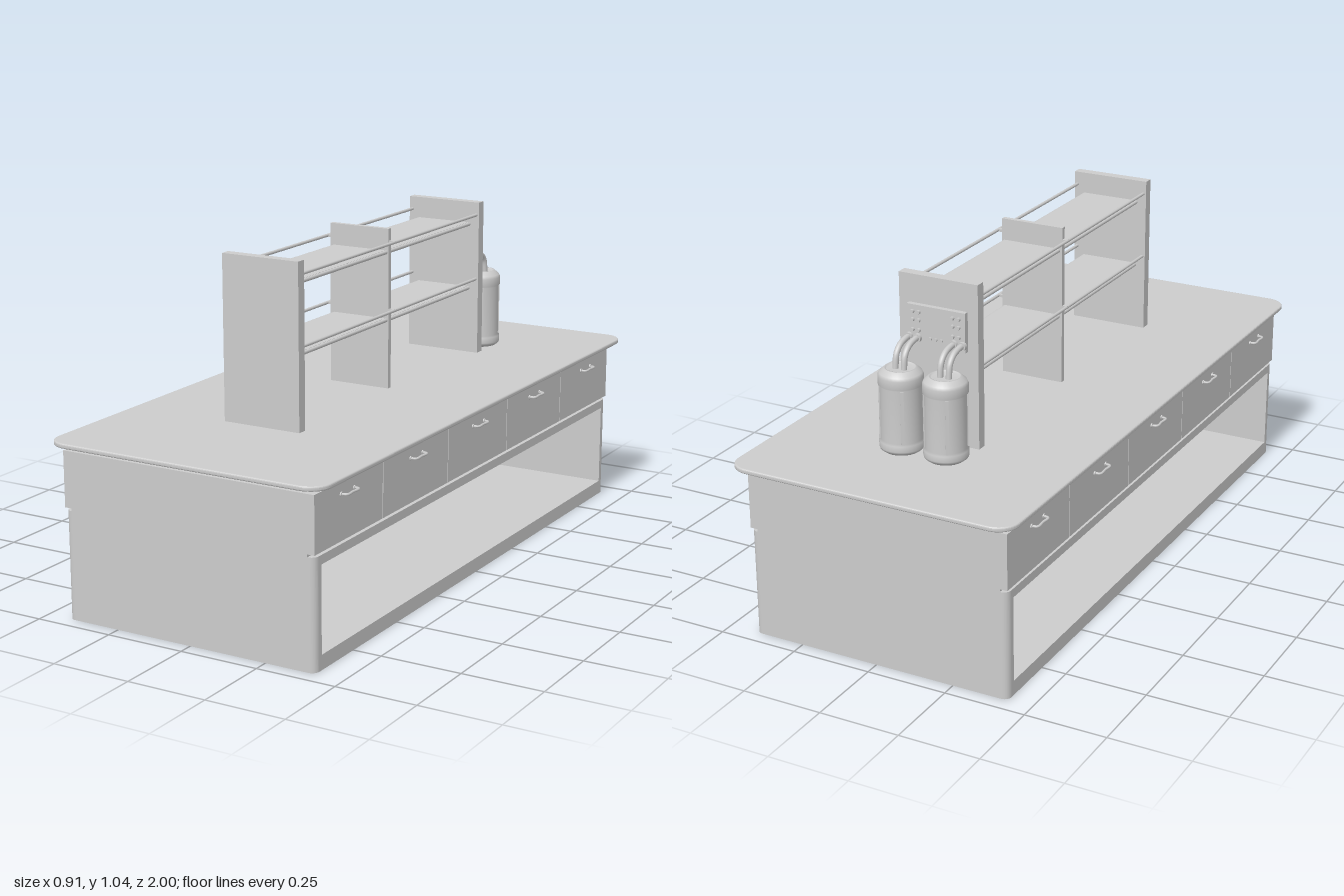
import * as THREE from 'three';

const mat = new THREE.MeshStandardMaterial({ color: 0xcccccc });

function add(parent, name, geo, x = 0, y = 0, z = 0) {
  const m = new THREE.Mesh(geo, mat);
  m.name = name;
  m.position.set(x, y, z);
  parent.add(m);
  return m;
}

const box = (parent, name, w, h, d, x, y, z) =>
  add(parent, name, new THREE.BoxGeometry(w, h, d), x, y, z);

// Rounded rectangle in plan: half-width a, half-depth b, corner radius r
function roundedRect(a, b, r) {
  const s = new THREE.Shape();
  s.absarc(a - r, b - r, r, 0, Math.PI / 2);
  s.absarc(-a + r, b - r, r, Math.PI / 2, Math.PI);
  s.absarc(-a + r, -b + r, r, Math.PI, Math.PI * 1.5);
  s.absarc(a - r, -b + r, r, Math.PI * 1.5, Math.PI * 2);
  s.closePath();
  return s;
}

// Extrudes a plan shape upward from y0 to y1
function slab(parent, name, shape, y0, y1, x = 0, bevel = 0) {
  const geo = new THREE.ExtrudeGeometry(shape, {
    depth: y1 - y0 - 2 * bevel, curveSegments: 10, bevelEnabled: bevel > 0,
    bevelSize: bevel, bevelThickness: bevel, bevelOffset: -bevel, bevelSegments: 3,
  });
  geo.rotateX(-Math.PI / 2);
  return add(parent, name, geo, x, y0 + bevel, 0);
}

function rod(parent, name, r, len, x, y, z) {
  const geo = new THREE.CylinderGeometry(r, r, len, 12).rotateX(Math.PI / 2);
  return add(parent, name, geo, x, y, z);
}

const tube = (parent, name, pts, r) => add(parent, name, new THREE.TubeGeometry(
  new THREE.CatmullRomCurve3(pts.map((p) => new THREE.Vector3(...p))), 20, r, 10));

const CX = -0.007, HW = 0.418, HD = 0.955; // cabinet centre and half sizes

function makeCabinet() {
  const g = new THREE.Group();
  g.name = 'cabinet';
  g.position.x = CX;
  const plan = roundedRect(HW, HD, 0.022);
  slab(g, 'cabinetFloor', plan, 0, 0.045);
  slab(g, 'cabinetCeiling', plan, 0.305, 0.332);
  // End walls with rounded outer corners
  const r = 0.022, inner = 0.92;
  for (const s of [1, -1]) {
    const wall = new THREE.Shape();
    wall.moveTo(-HW, inner);
    wall.lineTo(HW, inner);
    wall.absarc(HW - r, HD - r, r, 0, Math.PI / 2);
    wall.absarc(-HW + r, HD - r, r, Math.PI / 2, Math.PI);
    wall.closePath();
    slab(g, 'endWall', wall, 0.045, 0.305).rotation.y = s > 0 ? 0 : Math.PI;
  }
  // Divider between the two open shelves
  box(g, 'divider', 0.015, 0.26, 2 * inner, 0, 0.175, 0);
  // Carcass behind the drawers, and recessed neck below the top
  box(g, 'drawerCarcass', 0.79, 0.178, 2 * HD, 0, 0.421, 0);
  box(g, 'neck', 0.764, 0.022, 1.82, 0.007, 0.52, 0);
  // Five drawers with pull handles on each long side
  const pitch = 0.39;
  for (const s of [1, -1]) {
    for (let i = -2; i <= 2; i++) {
      const lo = i === -2 ? -HD : (i - 0.5) * pitch + 0.0015;
      const hi = i === 2 ? HD : (i + 0.5) * pitch - 0.0015;
      box(g, 'drawerFront', 0.025, 0.17, hi - lo, s * (HW - 0.0125), 0.425, (lo + hi) / 2);
      const z = i * pitch, x0 = s * (HW - 0.002), x1 = s * (HW + 0.017);
      tube(g, 'drawerHandle', [[x0, 0.475, z - 0.036], [x1, 0.475, z - 0.031],
        [x1, 0.475, z], [x1, 0.475, z + 0.031], [x0, 0.475, z + 0.036]], 0.004);
      for (const e of [-1, 1]) {
        const foot = new THREE.CylinderGeometry(0.007, 0.007, 0.004, 12).rotateZ(Math.PI / 2);
        add(g, 'handleFoot', foot, s * (HW + 0.002), 0.475, z + e * 0.036);
      }
    }
  }
  return g;
}

function makeRack() {
  const g = new THREE.Group();
  g.name = 'shelfRack';
  for (const s of [1, -1]) box(g, 'rackEnd', 0.256, 0.5, 0.032, 0, 0.795, s * 0.556);
  box(g, 'rackMiddle', 0.206, 0.5, 0.016, -0.002, 0.795, 0);
  for (const y of [0.76, 0.972]) {
    box(g, 'shelfBoard', 0.18, 0.012, 1.09, 0, y, 0);
    for (const s of [1, -1]) {
      rod(g, 'shelfEdgeRail', 0.006, 1.09, s * 0.092, y, 0);
      rod(g, 'guardRail', 0.005, 1.09, s * 0.118, y + 0.032, 0);
      // Brackets tie the guard rails to the middle panel
      box(g, 'railBracket', 0.025, 0.008, 0.012, s * 0.109, y + 0.032, 0);
    }
  }
  return g;
}

function makeTank() {
  const g = new THREE.Group();
  g.name = 'tank';
  const profile = [[0, 0], [0.054, 0], [0.064, 0.008], [0.066, 0.014], [0.066, 0.032], [0.061, 0.037],
    [0.061, 0.2], [0.066, 0.205], [0.066, 0.23], [0.062, 0.239], [0.047, 0.252],
    [0.043, 0.252], [0.04, 0.247], [0, 0.247]].map((p) => new THREE.Vector2(...p));
  add(g, 'tankBody', new THREE.LatheGeometry(profile, 32));
  // Raised vertical strips around the body
  for (let i = 0; i < 4; i++) {
    const a = 0.58 + i * Math.PI / 2;
    const strip = box(g, 'tankStrip', 0.01, 0.163, 0.006, Math.sin(a) * 0.061, 0.118, Math.cos(a) * 0.061);
    strip.rotation.y = a;
  }
  return g;
}

function makeWaterUnit() {
  const g = new THREE.Group();
  g.name = 'tankUnit';
  const zp = -0.58;
  box(g, 'mountPanel', 0.19, 0.12, 0.016, 0, 0.9, zp);
  // Fittings on the panel
  for (const x of [-0.075, -0.055, 0.055, 0.075])
    for (const y of [0.885, 0.915, 0.94])
      add(g, 'panelKnob', new THREE.CylinderGeometry(0.006, 0.006, 0.01, 12).rotateX(Math.PI / 2), x, y, zp - 0.012);
  for (const x of [-0.018, 0, 0.018])
    add(g, 'panelButton', new THREE.CylinderGeometry(0.005, 0.005, 0.008, 12).rotateX(Math.PI / 2), x, 0.865, zp - 0.01);
  for (const s of [1, -1]) {
    const tank = makeTank();
    tank.position.set(s * 0.073, 0.545, -0.665);
    g.add(tank);
    // Paired hoses from the panel to the tank lid
    for (const o of [-0.014, 0.014]) {
      const x = s * 0.073 + o;
      tube(g, 'hose', [[x, 0.862, zp], [x, 0.862, -0.61], [x, 0.853, -0.642],
        [x, 0.832, -0.662], [x, 0.785, -0.67]], 0.009);
      add(g, 'hoseCollar', new THREE.CylinderGeometry(0.013, 0.013, 0.012, 16).rotateX(Math.PI / 2), x, 0.862, zp - 0.012);
    }
  }
  return g;
}

export function createModel() {
  const model = new THREE.Group();
  model.name = 'islandBench';
  model.add(makeCabinet());
  slab(model, 'worktop', roundedRect(0.455, 1, 0.065), 0.53, 0.545, 0, 0.005);
  model.add(makeRack(), makeWaterUnit());
  return model;
}
